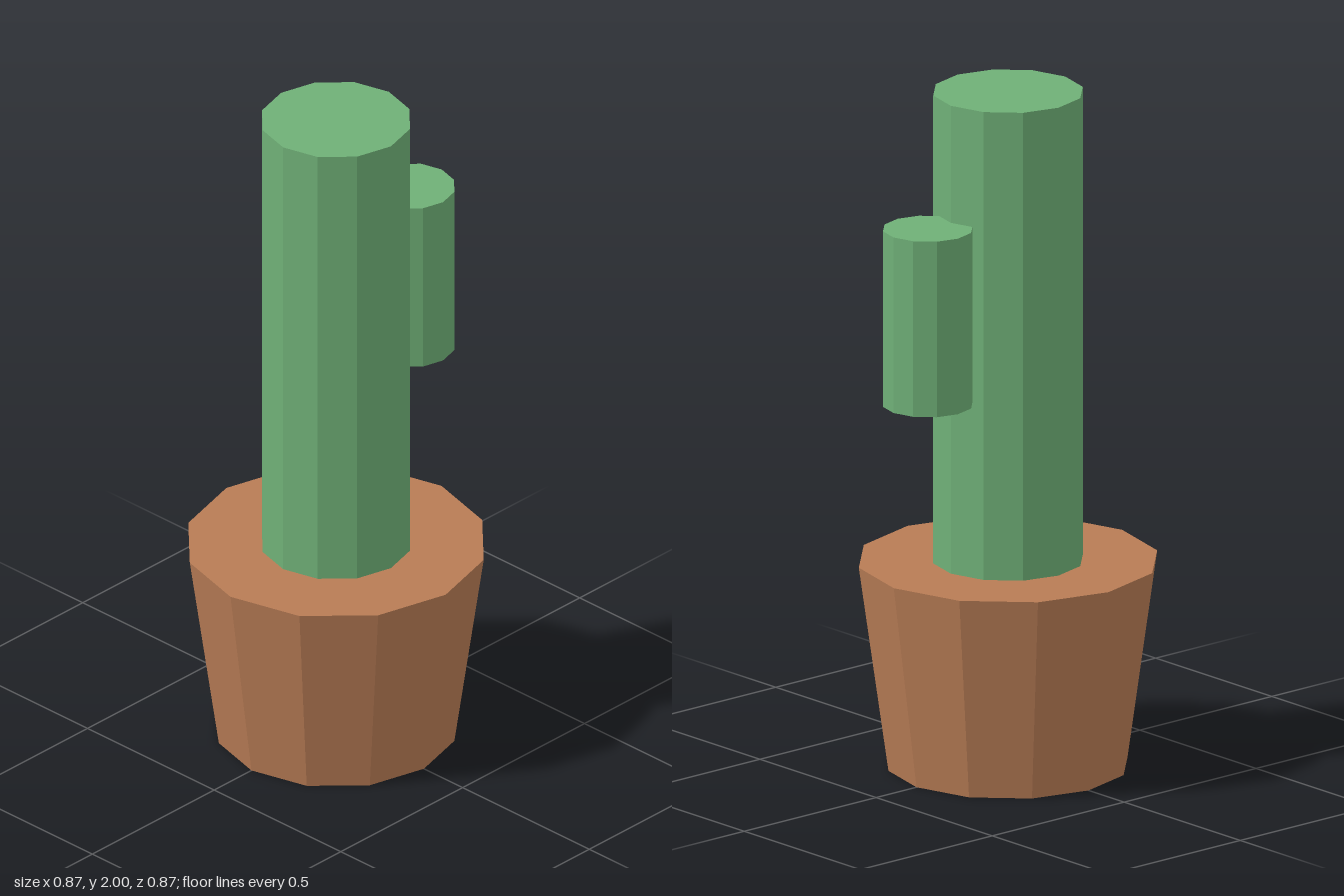
import * as THREE from 'three';

export function createModel() {
  const model = new THREE.Group();
  model.name = 'pottedCactus';

  const green = new THREE.MeshStandardMaterial({ color: 0x6fb077, flatShading: true });
  green.name = 'cactusGreen';
  const clay = new THREE.MeshStandardMaterial({ color: 0xb87c55, flatShading: true });
  clay.name = 'clayBrown';

  // Twelve-sided closed column between two heights
  function column(name, material, topRadius, bottomRadius, bottom, top, x = 0) {
    const geometry = new THREE.CylinderGeometry(topRadius, bottomRadius, top - bottom, 12);
    const mesh = new THREE.Mesh(geometry, material);
    mesh.name = name;
    mesh.position.set(x, (bottom + top) / 2, 0);
    model.add(mesh);
  }

  // Tapered pot, main stem and the side arm on the model's left
  column('pot', clay, 0.433, 0.347, 0, 0.609);
  column('stem', green, 0.217, 0.217, 0.609, 2);
  column('arm', green, 0.13, 0.13, 1.13, 1.652, 0.304);

  return model;
}
